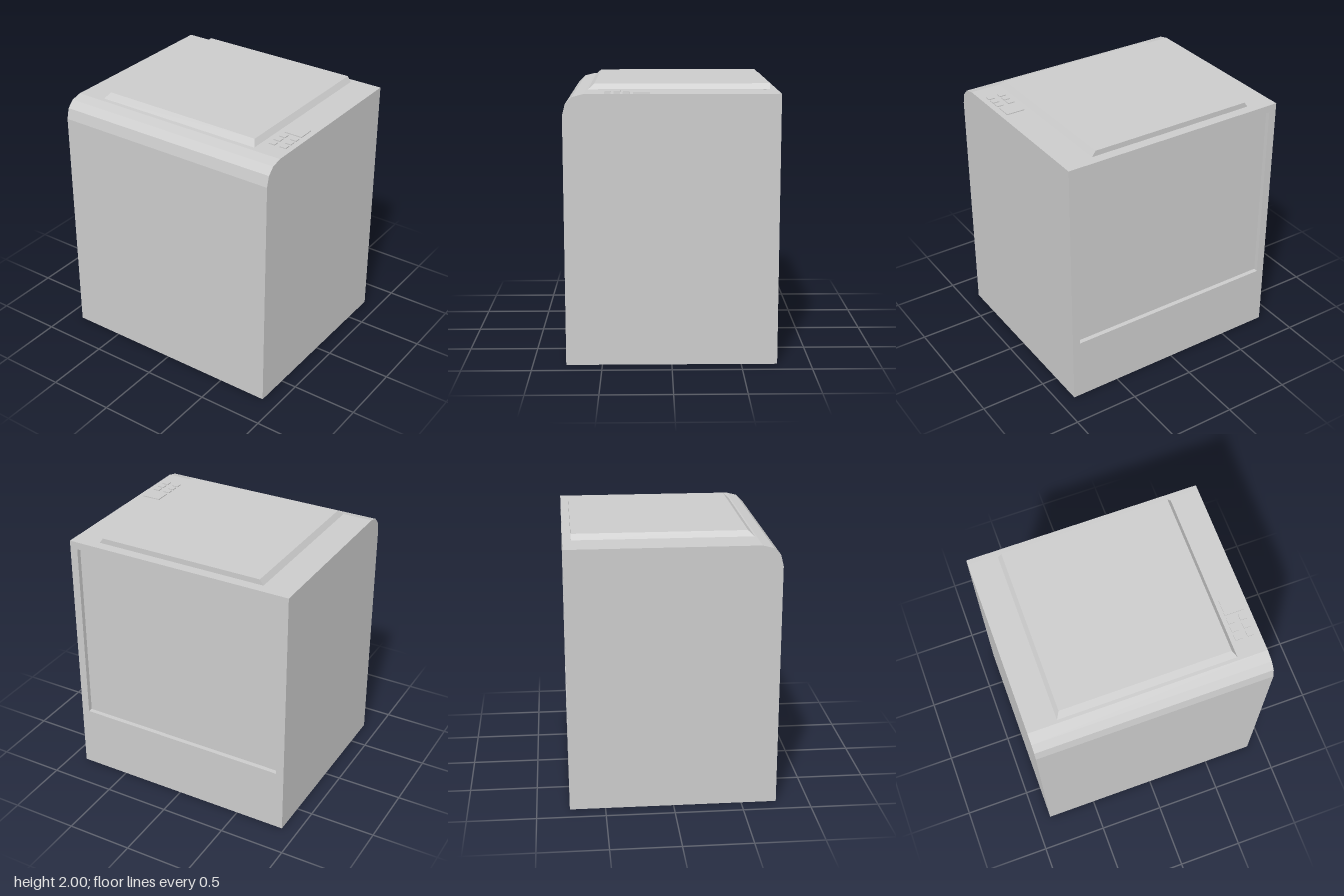
import * as THREE from 'three';

const W = 0.88, TOP = 1.95, BACK = -0.76, RECESS = 0.035;

export function createModel() {
  const group = new THREE.Group();
  const material = new THREE.MeshStandardMaterial({ color: 0xcccccc, flatShading: true });

  const add = (name, geometry) => {
    const mesh = new THREE.Mesh(geometry, material);
    mesh.name = name;
    group.add(mesh);
    return mesh;
  };
  // Box given by its limits on each axis
  const slab = (name, x0, x1, y0, y1, z0, z1) =>
    add(name, new THREE.BoxGeometry(x1 - x0, y1 - y0, z1 - z0))
      .position.set((x0 + x1) / 2, (y0 + y1) / 2, (z0 + z1) / 2);

  // Cabinet: side profile (z, y) with a faceted top front edge, extruded across x
  const inner = BACK + RECESS;
  const profile = new THREE.Shape([
    [inner, 0], [0.76, 0], [0.76, 1.8], [0.74, 1.88], [0.69, 1.93], [0.61, TOP], [inner, TOP],
  ].map(([z, y]) => new THREE.Vector2(z, y)));
  const cabinet = new THREE.ExtrudeGeometry(profile, { depth: 2 * W, bevelEnabled: false });
  cabinet.rotateY(-Math.PI / 2).translate(W, 0, 0);
  add('cabinet', cabinet);

  // Back frame around the recessed rear panel
  const rect = (Type, x, y0, y1) => new Type([
    new THREE.Vector2(-x, y0), new THREE.Vector2(x, y0),
    new THREE.Vector2(x, y1), new THREE.Vector2(-x, y1),
  ]);
  const frame = rect(THREE.Shape, W, 0, TOP);
  frame.holes.push(rect(THREE.Path, 0.82, 0.485, 1.895));
  add('backFrame', new THREE.ExtrudeGeometry(frame, { depth: RECESS, bevelEnabled: false })
    .translate(0, 0, BACK));

  // Raised seat under the lid
  slab('lidSeat', -0.6, 0.6, TOP - 0.01, 1.96, -0.68, 0.52);

  // Lid: sides and front slope inwards, back stays upright
  const lid = new THREE.BoxGeometry(1.32, 0.04, 1.29).translate(0, 1.98, -0.055);
  const p = lid.attributes.position;
  for (let i = 0; i < p.count; i++) {
    if (p.getY(i) < 1.98) continue;
    p.setX(i, Math.sign(p.getX(i)) * 0.632);
    if (p.getZ(i) > 0) p.setZ(i, 0.545);
  }
  lid.computeVertexNormals();
  add('lid', lid);

  // Controls beside the lid: a display and two columns of buttons
  slab('display', 0.695, 0.835, TOP - 0.01, 1.957, 0.15, 0.27);
  for (const x of [0.695, 0.785]) {
    for (const z of [0.295, 0.36, 0.425]) {
      slab('button', x, x + 0.05, TOP - 0.01, 1.957, z, z + 0.045);
    }
  }
  return group;
}
